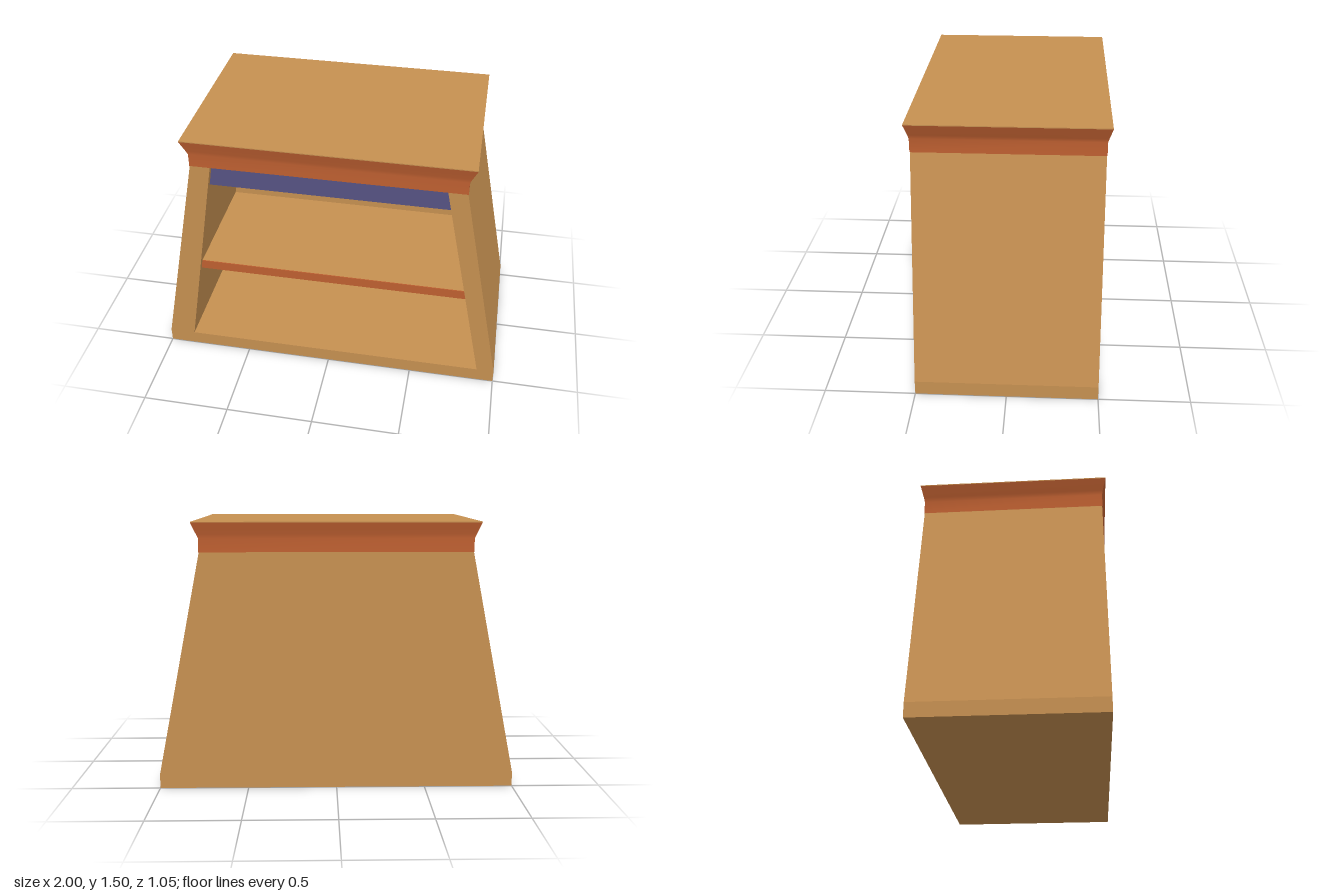
import * as THREE from 'three';
import { mergeGeometries } from 'three/addons/utils/BufferGeometryUtils.js';

const mat = (name, color, side = THREE.FrontSide) => {
  const m = new THREE.MeshStandardMaterial({ color, side });
  m.name = name;
  return m;
};

const FRONT = 0.5, BACK = -0.5, INNER_BACK = -0.24, CEILING = 1.34, FLOOR = 0.08;

// Sloping inner sides of the opening at height y (slightly uneven)
const innerLeft = (y) => 0.9 - (y - FLOOR) * 0.204;
const innerRight = (y) => -0.85 + (y - FLOOR) * 0.17;

// Four-cornered slice of the opening between two heights, counter-clockwise
const slice = (y0, y1) => [
  [innerRight(y0), y0], [innerLeft(y0), y0], [innerLeft(y1), y1], [innerRight(y1), y1],
].map(([x, y]) => new THREE.Vector2(x, y));

// Flat-shaded quads running around a closed outline from z0 to z1
function band(points, z0, z1) {
  const pos = [];
  points.forEach((a, i) => {
    const b = points[(i + 1) % points.length];
    pos.push(a.x, a.y, z0, b.x, b.y, z0, b.x, b.y, z1, a.x, a.y, z0, b.x, b.y, z1, a.x, a.y, z1);
  });
  const g = new THREE.BufferGeometry();
  g.setAttribute('position', new THREE.Float32BufferAttribute(pos, 3));
  g.computeVertexNormals();
  return g;
}

function face(shape, z) {
  const g = new THREE.ShapeGeometry(shape).toNonIndexed();
  g.deleteAttribute('uv');
  return g.translate(0, 0, z);
}

function prism(points, z0, z1) {
  return new THREE.ExtrudeGeometry(new THREE.Shape(points), { depth: z1 - z0, bevelEnabled: false })
    .translate(0, 0, z0);
}

// One side of the crown moulding, smooth along its profile
function crownSide(profile, alongX, sign) {
  const pos = [], idx = [];
  profile.forEach(([x, z, y], i) => {
    if (alongX) pos.push(-x * sign, y, z * sign, x * sign, y, z * sign);
    else pos.push(x * sign, y, z * sign, x * sign, y, -z * sign);
    if (i) {
      const a = 2 * (i - 1);
      idx.push(a, a + 1, a + 3, a, a + 3, a + 2);
    }
  });
  const g = new THREE.BufferGeometry();
  g.setAttribute('position', new THREE.Float32BufferAttribute(pos, 3));
  g.setIndex(idx);
  g.computeVertexNormals();
  return g;
}

export function createModel() {
  const group = new THREE.Group();
  const wood = mat('wood', 0xc69051);
  const trim = mat('trim', 0xbf6031);
  const trimOpen = mat('trim', 0xbf6031, THREE.DoubleSide);
  trimOpen.name = 'crown trim';
  const blue = mat('blue panel', 0x575383);
  const add = (name, geometry, material) => {
    const mesh = new THREE.Mesh(geometry, material);
    mesh.name = name;
    group.add(mesh);
    return mesh;
  };

  // Tapered cabinet body with a recessed opening
  const half = [[1, 0], [1, 0.08], [0.748, 1.335], [0.748, 1.41]];
  const outline = [...half, ...half.map(([x, y]) => [-x, y]).reverse()]
    .map(([x, y]) => new THREE.Vector2(x, y));
  const opening = slice(FLOOR, CEILING);
  const frontShape = new THREE.Shape(outline);
  frontShape.holes.push(new THREE.Path(opening));
  add('cabinetBody', mergeGeometries([
    face(frontShape, FRONT),
    face(new THREE.Shape(outline), 0).rotateY(Math.PI).translate(0, 0, BACK),
    face(new THREE.Shape(opening), INNER_BACK),
    band(outline, BACK, FRONT),
    band([...opening].reverse(), INNER_BACK, FRONT),
  ]), wood);

  // Shelf with a coloured front edge
  const shelf = slice(0.595, 0.65);
  add('shelf', prism(shelf, INNER_BACK, 0.465), wood);
  add('shelfEdge', prism(shelf, 0.465, 0.47), trim);

  // Panel hanging from the top of the opening
  add('headerPanel', prism(slice(1.2, CEILING), 0.425, 0.465), blue);

  // Flared crown moulding: half width, half depth, height
  const profile = [
    [0.75, 0.502, 1.335], [0.75, 0.502, 1.41], [0.76, 0.507, 1.433],
    [0.773, 0.515, 1.462], [0.787, 0.524, 1.495],
  ];
  const sides = [];
  for (const alongX of [true, false])
    for (const sign of [1, -1]) sides.push(crownSide(profile, alongX, sign));
  add('crownMoulding', mergeGeometries(sides), trimOpen);

  // Flat top board
  add('topBoard', new THREE.BoxGeometry(1.574, 0.005, 1.048), wood).position.y = 1.4975;

  return group;
}
